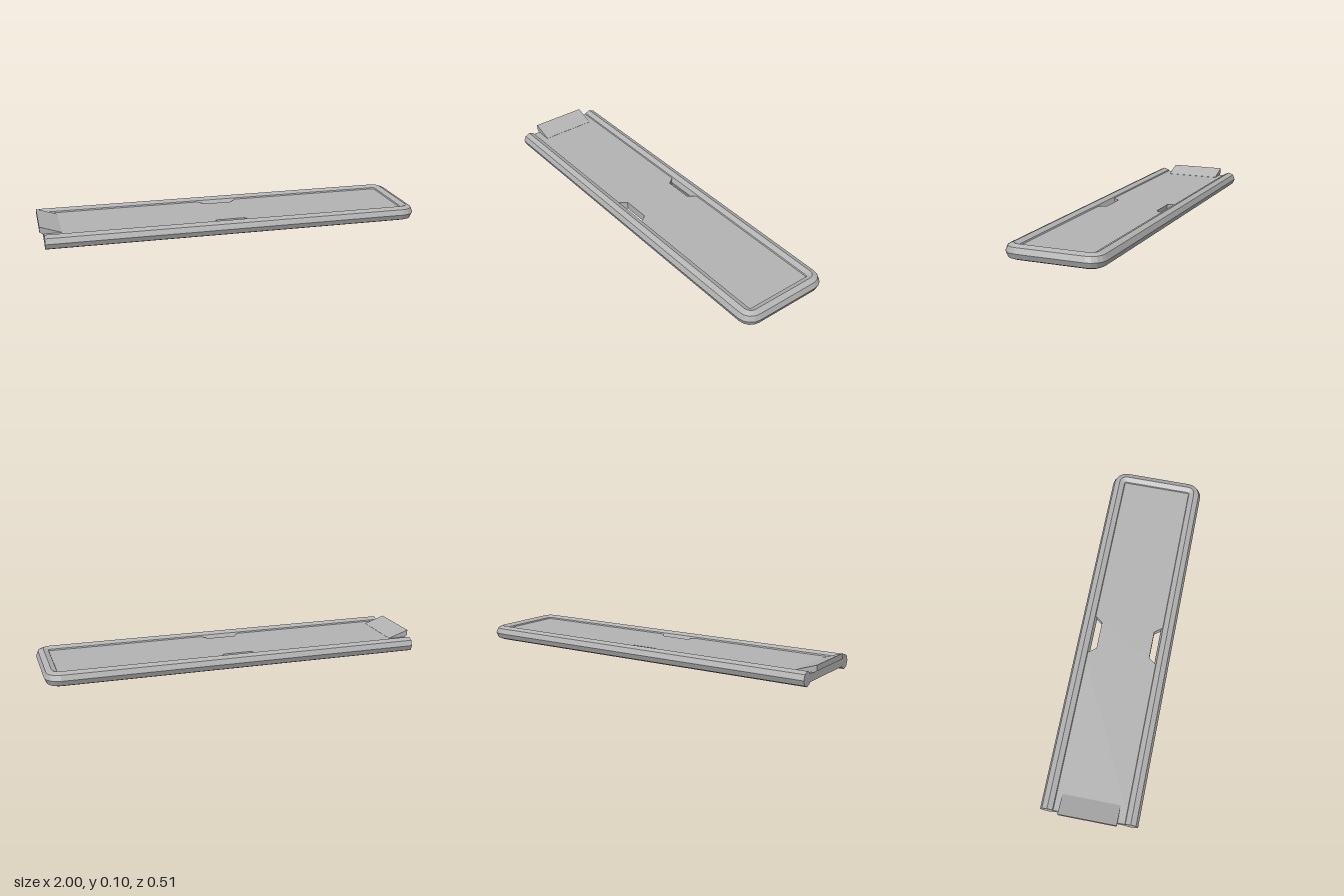
import * as THREE from 'three';

const R = 0.0385;          // radius of the eight-sided rim
const SIDES = 8;
const LEFT_END = -0.98;

// U-shaped path of the rim: centre (x, z) and outward direction (nx, nz)
function rimPath() {
  const bend = 0.037, cx = 0.96 - bend, cz = 0.2145 - bend, steps = 4;
  const path = [{ x: LEFT_END, z: cz + bend, nx: 0, nz: 1 }];
  for (const side of [1, -1]) {
    for (let i = 0; i <= steps; i++) {
      const t = (i / steps) * Math.PI / 2;
      const a = side > 0 ? Math.PI / 2 - t : -t;
      const nx = Math.cos(a), nz = Math.sin(a);
      path.push({ x: cx + bend * nx, z: side * cz + bend * nz, nx, nz });
    }
  }
  path.push({ x: LEFT_END, z: -cz - bend, nx: 0, nz: -1 });
  return path;
}

// Octagon swept along the path, with flat facets and closed ends
function rimGeometry() {
  const rings = rimPath().map((p) => Array.from({ length: SIDES }, (_, j) => {
    const a = (j / SIDES) * Math.PI * 2, out = R * Math.cos(a);
    return [p.x + p.nx * out, R + R * Math.sin(a), p.z + p.nz * out];
  }));
  const pos = [];
  const tri = (a, b, c) => pos.push(...a, ...b, ...c);
  for (let i = 0; i < rings.length - 1; i++) {
    for (let j = 0; j < SIDES; j++) {
      const k = (j + 1) % SIDES;
      tri(rings[i][j], rings[i + 1][j], rings[i + 1][k]);
      tri(rings[i][j], rings[i + 1][k], rings[i][k]);
    }
  }
  const first = rings[0], last = rings[rings.length - 1];
  for (let j = 1; j < SIDES - 1; j++) {
    tri(first[0], first[j], first[j + 1]);
    tri(last[0], last[j + 1], last[j]);
  }
  const geo = new THREE.BufferGeometry();
  geo.setAttribute('position', new THREE.Float32BufferAttribute(pos, 3));
  geo.computeVertexNormals();
  return geo;
}

const points = (list) => list.map(([x, y]) => new THREE.Vector2(x, y));

// Flat panel with a tapered slot beside each long rail
function panelGeometry(bottom, top) {
  const shape = new THREE.Shape(points([
    [LEFT_END, -0.21], [0.95, -0.21], [0.95, 0.21], [LEFT_END, 0.21],
  ]));
  for (const s of [1, -1]) {
    shape.holes.push(new THREE.Path(points([
      [-0.13, s * 0.2], [-0.088, s * 0.144], [0.062, s * 0.144], [0.104, s * 0.2],
    ])));
  }
  const geo = new THREE.ExtrudeGeometry(shape, { depth: top - bottom, bevelEnabled: false });
  return geo.rotateX(-Math.PI / 2).translate(0, bottom, 0);
}

// Sloping thumb lip on the open end
function lipGeometry() {
  const shape = new THREE.Shape(points([
    [-1, 0.097], [-1, 0.068], [-0.98, 0.056], [-0.89, 0.056], [-0.89, 0.06],
  ]));
  const geo = new THREE.ExtrudeGeometry(shape, { depth: 0.302, bevelEnabled: false });
  return geo.translate(0, 0, -0.155);
}

export function createModel() {
  const grey = new THREE.MeshStandardMaterial({ color: 0xb3b3b3 });
  grey.name = 'grey';
  grey.flatShading = true;
  const model = new THREE.Group();
  model.name = 'slidingCover';
  const add = (name, geo) => {
    const mesh = new THREE.Mesh(geo, grey);
    mesh.name = name;
    model.add(mesh);
  };
  add('rim', rimGeometry());
  add('panel', panelGeometry(0.018, 0.059));
  add('thumbLip', lipGeometry());
  return model;
}
